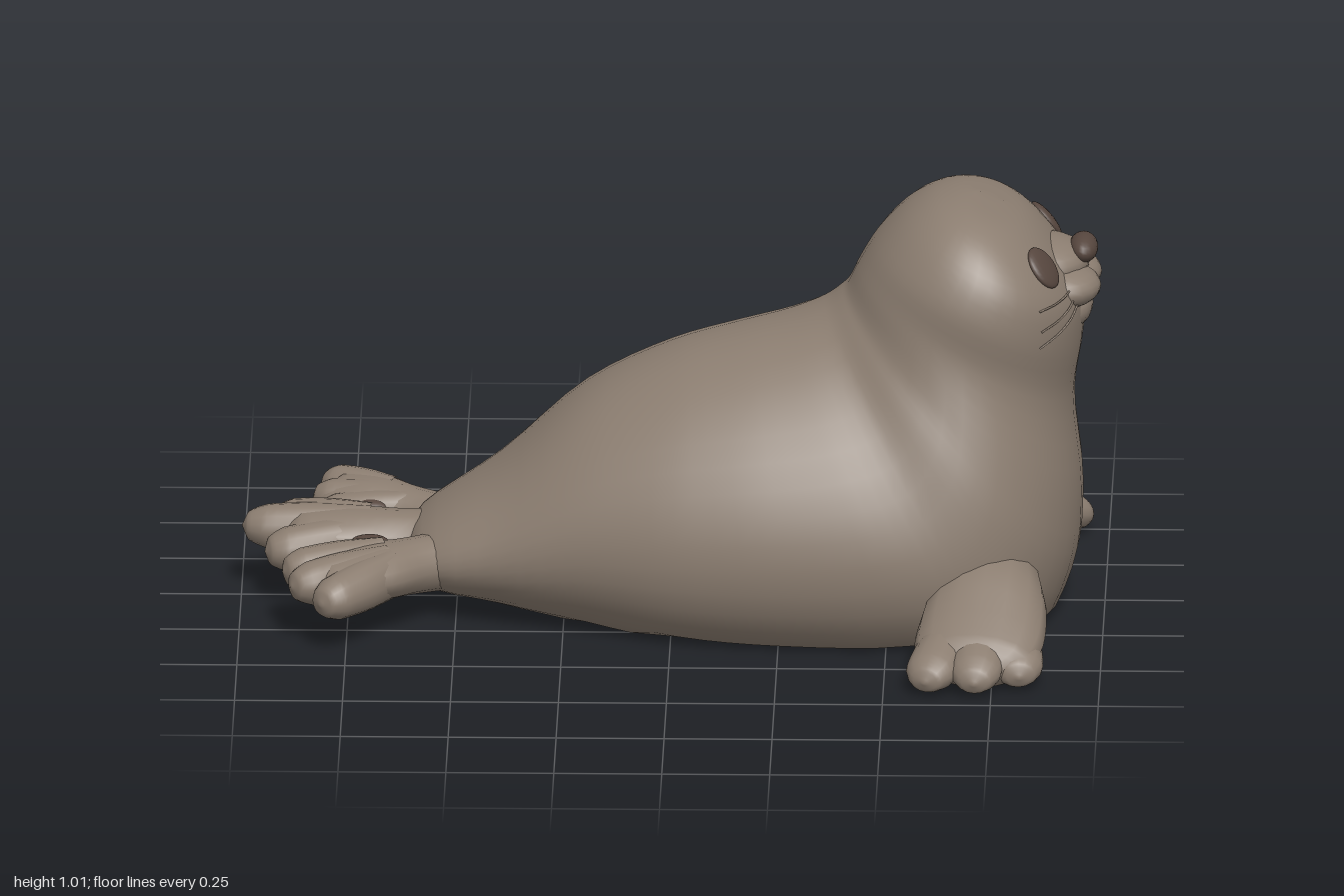
import * as THREE from 'three';
import { mergeVertices } from 'three/addons/utils/BufferGeometryUtils.js';

const fur = new THREE.MeshStandardMaterial({ color: 0x8b7d70 });
fur.name = 'fur';
const dark = new THREE.MeshStandardMaterial({ color: 0x56463e });
dark.name = 'darkBrown';

const V = (x, y, z) => new THREE.Vector3(x, y, z);

// Skin a list of equal-length closed rings
function loft(rings) {
  const n = rings[0].length, index = [];
  for (let i = 0; i < rings.length - 1; i++) {
    for (let j = 0; j < n; j++) {
      const k = (j + 1) % n;
      const a = i * n + j, b = i * n + k, c = a + n, d = b + n;
      index.push(a, b, c, b, d, c);
    }
  }
  let geo = new THREE.BufferGeometry().setFromPoints(rings.flat());
  geo.setIndex(index);
  geo = mergeVertices(geo, 1e-4);
  geo.computeVertexNormals();
  return geo;
}

function add(parent, name, geo, material = fur) {
  const mesh = new THREE.Mesh(geo, material);
  mesh.name = name;
  parent.add(mesh);
  return mesh;
}

function ellipsoid(parent, name, pos, radii, material = fur) {
  const mesh = add(parent, name, new THREE.SphereGeometry(1, 20, 14), material);
  mesh.position.set(...pos);
  mesh.scale.set(...radii);
  return mesh;
}

// Sections fan from tail to crown: back point (x, y), belly point (x, y), half width, low bias
const stations = [
  [-0.62, 0.14, -0.62, 0.13, 0, 0],
  [-0.58, 0.21, -0.58, 0.06, 0.18, 0],
  [-0.4, 0.34, -0.4, 0.015, 0.27, 0.05],
  [-0.2, 0.52, -0.2, -0.03, 0.345, 0.12],
  [0, 0.62, 0.02, -0.08, 0.415, 0.16],
  [0.15, 0.665, 0.28, -0.1, 0.45, 0.18],
  [0.27, 0.7, 0.6, -0.1, 0.455, 0.2],
  [0.35, 0.735, 0.83, -0.06, 0.43, 0.2],
  [0.385, 0.76, 0.93, 0.11, 0.4, 0.15],
  [0.405, 0.78, 0.95, 0.3, 0.36, 0.1],
  [0.43, 0.83, 0.93, 0.53, 0.32, 0],
  [0.47, 0.895, 0.95, 0.67, 0.325, 0],
  [0.53, 0.96, 0.95, 0.77, 0.302, 0],
  [0.59, 0.997, 0.895, 0.87, 0.245, 0],
  [0.65, 1.01, 0.825, 0.95, 0.155, 0],
  [0.71, 1.005, 0.75, 0.99, 0, 0],
];

function bodyGeometry() {
  const back = new THREE.CatmullRomCurve3(stations.map(s => V(s[0], s[1], s[4])));
  const belly = new THREE.CatmullRomCurve3(stations.map(s => V(s[2], s[3], s[5])));
  const rings = [], steps = (stations.length - 1) * 4, sides = 40;
  for (let i = 0; i <= steps; i++) {
    const a = back.getPoint(i / steps), b = belly.getPoint(i / steps);
    const ring = [];
    for (let j = 0; j < sides; j++) {
      const t = j / sides * Math.PI * 2, c = Math.cos(t), s = Math.sin(t);
      const f = (1 - c) / 2;
      const z = a.z * Math.sign(s) * Math.abs(s) ** 0.95 * (1 - b.z * c);
      // the belly is pressed flat on the ground
      ring.push(V(a.x + (b.x - a.x) * f, Math.max(0.006, a.y + (b.y - a.y) * f), z));
    }
    rings.push(ring);
  }
  return loft(rings);
}

// Flattened limb through points [x, y, z, half width, half height]
function limb(points) {
  const path = new THREE.CatmullRomCurve3(points.map(p => V(p[0], p[1], p[2])));
  const size = new THREE.CatmullRomCurve3(points.map(p => V(p[3], p[4], 0)));
  const first = points[0], last = points[points.length - 1];
  const side = V(last[0] - first[0], 0, last[2] - first[2]).normalize().cross(V(0, 1, 0));
  const rings = [], steps = 16, sides = 16;
  for (let i = 0; i <= steps; i++) {
    const p = path.getPoint(i / steps), s = size.getPoint(i / steps), ring = [];
    for (let j = 0; j < sides; j++) {
      const t = j / sides * Math.PI * 2;
      const q = p.clone().addScaledVector(side, Math.sin(t) * Math.max(0, s.x));
      q.y = Math.max(0.003, q.y + Math.cos(t) * Math.max(0, s.y));
      ring.push(q);
    }
    rings.push(ring);
  }
  return loft(rings);
}

// Toe from root to tip, swelling in the middle and rounded at the end
function toe(root, tip, w, h) {
  const at = (f, a, b) => [...root.map((r, i) => r + (tip[i] - r) * f), w * a, h * b];
  return limb([at(0, 0.75, 1.1), at(0.45, 1, 1.1), at(0.8, 0.95, 0.95), at(0.95, 0.6, 0.6), at(1, 0, 0)]);
}

function flipper(parent, name, palm, toes, w, h) {
  const group = new THREE.Group();
  group.name = name;
  add(group, 'palm', limb(palm));
  toes.forEach(([root, tip]) => add(group, 'toe', toe(root, tip, w, h)));
  parent.add(group);
}

export function createModel() {
  const model = new THREE.Group();
  model.name = 'seal';
  const body = add(model, 'body', bodyGeometry());

  // Front flippers
  flipper(model, 'leftFrontFlipper',
    [[0.75, 0.14, 0.3, 0.11, 0.11], [0.735, 0.125, 0.42, 0.14, 0.105], [0.72, 0.085, 0.54, 0.15, 0.08],
      [0.71, 0.06, 0.62, 0.13, 0.055], [0.71, 0.045, 0.665, 0, 0]],
    [[[0.67, 0.1, 0.46], [0.595, 0.04, 0.7]], [[0.73, 0.11, 0.46], [0.71, 0.04, 0.71]],
      [[0.79, 0.1, 0.43], [0.815, 0.04, 0.66]]], 0.063, 0.047);
  flipper(model, 'rightFrontFlipper',
    [[0.74, 0.14, -0.3, 0.12, 0.11], [0.75, 0.125, -0.42, 0.145, 0.105], [0.765, 0.085, -0.53, 0.16, 0.08],
      [0.765, 0.06, -0.6, 0.13, 0.055], [0.77, 0.045, -0.65, 0, 0]],
    [[[0.67, 0.1, -0.46], [0.655, 0.04, -0.71]], [[0.74, 0.11, -0.46], [0.77, 0.04, -0.71]],
      [[0.79, 0.1, -0.42], [0.885, 0.04, -0.65]], [[0.8, 0.1, -0.36], [0.945, 0.045, -0.52]]], 0.06, 0.047);

  // Hind flippers and tail
  flipper(model, 'tailFlipper',
    [[-0.52, 0.14, -0.01, 0.1, 0.07], [-0.62, 0.14, -0.02, 0.08, 0.065], [-0.75, 0.145, -0.025, 0.1, 0.062],
      [-0.86, 0.15, -0.03, 0.1, 0.05], [-0.92, 0.15, -0.03, 0, 0]],
    [[[-0.7, 0.15, -0.06], [-0.93, 0.155, -0.1]], [[-0.7, 0.15, -0.04], [-1.0, 0.155, -0.055]],
      [[-0.7, 0.14, 0], [-0.945, 0.13, 0.06]]], 0.058, 0.054);
  flipper(model, 'rightHindFlipper',
    [[-0.5, 0.13, -0.12, 0.07, 0.07], [-0.6, 0.135, -0.19, 0.07, 0.065], [-0.7, 0.145, -0.25, 0.1, 0.062],
      [-0.77, 0.15, -0.29, 0.095, 0.05], [-0.81, 0.15, -0.31, 0, 0]],
    [[[-0.65, 0.15, -0.25], [-0.815, 0.16, -0.35]], [[-0.63, 0.145, -0.21], [-0.84, 0.15, -0.27]],
      [[-0.62, 0.14, -0.18], [-0.83, 0.13, -0.205]]], 0.052, 0.052);
  flipper(model, 'leftHindFlipper',
    [[-0.5, 0.13, 0.1, 0.07, 0.07], [-0.6, 0.135, 0.165, 0.075, 0.065], [-0.7, 0.14, 0.23, 0.105, 0.062],
      [-0.8, 0.14, 0.3, 0.1, 0.05], [-0.85, 0.14, 0.34, 0, 0]],
    [[[-0.67, 0.15, 0.18], [-0.9, 0.15, 0.26]], [[-0.66, 0.145, 0.22], [-0.88, 0.14, 0.34]],
      [[-0.65, 0.14, 0.24], [-0.81, 0.125, 0.42]]], 0.056, 0.053);
  // Dark webs on the inner edges of the hind flippers
  ellipsoid(model, 'leftWeb', [-0.7, 0.18, 0.135], [0.045, 0.018, 0.03], dark);
  ellipsoid(model, 'rightWeb', [-0.7, 0.165, -0.165], [0.04, 0.018, 0.03], dark);

  // Muzzle and nose
  ellipsoid(model, 'muzzleBridge', [0.85, 0.84, 0], [0.115, 0.06, 0.12]);
  ellipsoid(model, 'chin', [0.9, 0.735, 0], [0.073, 0.06, 0.12]);
  for (const s of [1, -1]) ellipsoid(model, 'muzzleCheek', [0.895, 0.795, s * 0.05], [0.097, 0.052, 0.1]);
  ellipsoid(model, 'nose', [0.95, 0.87, 0], [0.034, 0.033, 0.062], dark);
  ellipsoid(model, 'mouth', [0.962, 0.765, 0], [0.026, 0.015, 0.03], dark);

  // Find the face surface, looking at it from the front
  body.updateMatrixWorld();
  const surface = (y, z) =>
    new THREE.Raycaster(V(2, y, z), V(-1, 0, 0)).intersectObject(body)[0];

  for (const s of [1, -1]) {
    // Eyes lie flat on the face
    const hit = surface(0.877, s * 0.172);
    const eye = ellipsoid(model, s > 0 ? 'leftEye' : 'rightEye', hit.point.toArray(), [0.05, 0.053, 0.016], dark);
    eye.lookAt(hit.point.clone().add(hit.face.normal));
    // Whiskers follow the cheek
    for (const [y, dy] of [[0.81, -0.01], [0.79, -0.04], [0.77, -0.06]]) {
      const points = [0.12, 0.17, 0.22, 0.265].map((z, i) =>
        surface(y + dy * i / 3, s * z).point.add(V(0.004, 0, 0)));
      add(model, 'whisker', new THREE.TubeGeometry(new THREE.CatmullRomCurve3(points), 12, 0.0025, 5));
    }
  }
  return model;
}
